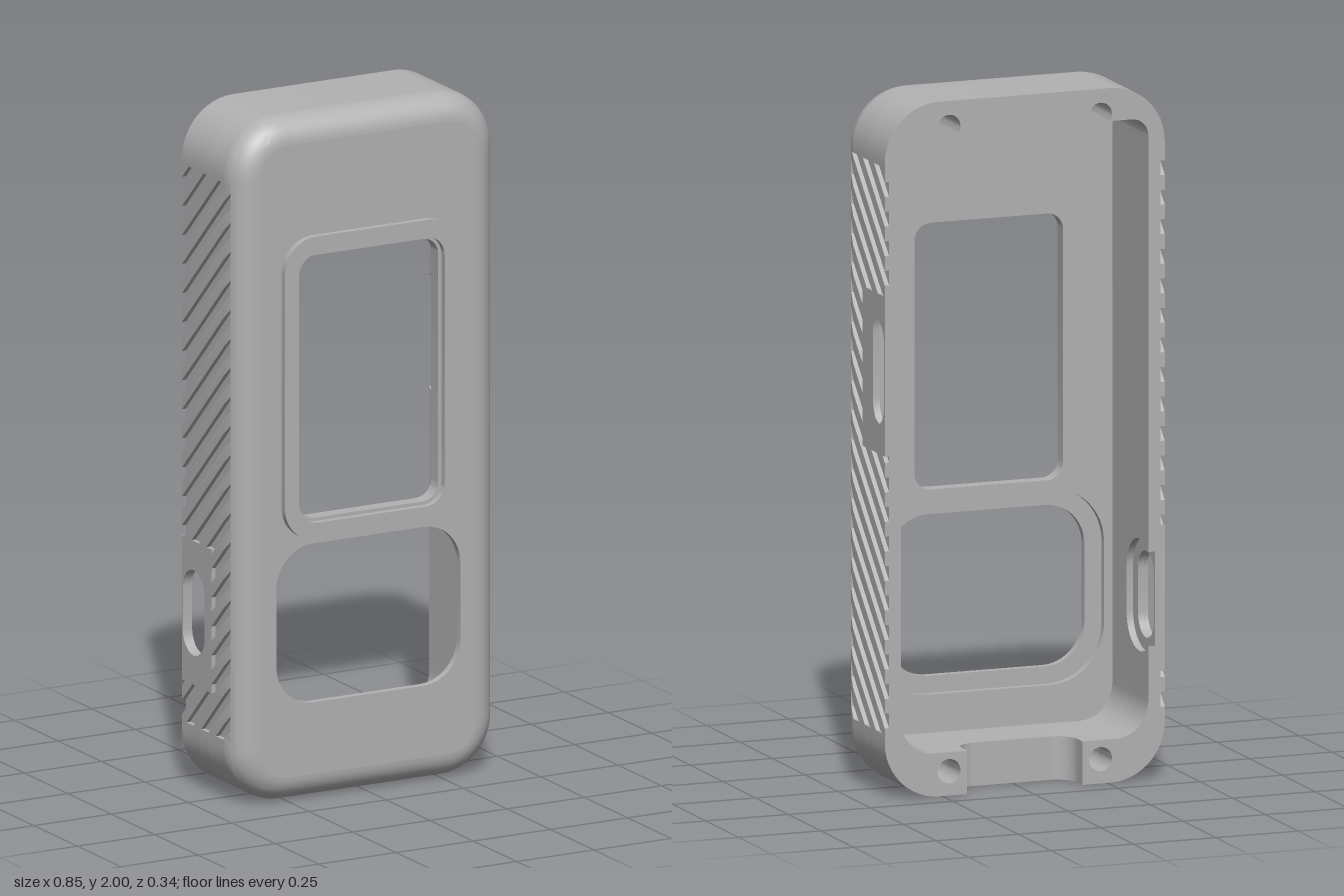
import * as THREE from 'three';
import { mergeGeometries, toCreasedNormals } from 'three/addons/utils/BufferGeometryUtils.js';

const W = 0.425, R = 0.165, IN = 0.375;         // half width, corner radius, cavity half width
const BACK = -0.17, EDGE = 0.072, FRONT = 0.147; // z of back rim, start of edge rounding, front face
const Y0 = 0.19, Y1 = 1.82, GZ = 0.1, FLOOR = 0.412; // grooved side panel and groove floor
const ROUND = FRONT - EDGE, HP = Math.PI / 2;

function arc(cx, cy, r, a0, a1, n = 12) {
  const pts = [];
  for (let i = 0; i <= n; i++) {
    const a = a0 + (a1 - a0) * i / n;
    pts.push([cx + r * Math.cos(a), cy + r * Math.sin(a)]);
  }
  return pts;
}

// rounded rectangle, counter-clockwise, with separate bottom and top radii
function roundRect(w, y0, y1, rb, rt = rb) {
  return [
    ...arc(w - rb, y0 + rb, rb, -HP, 0), ...arc(w - rt, y1 - rt, rt, 0, HP),
    ...arc(-w + rt, y1 - rt, rt, HP, 2 * HP), ...arc(-w + rb, y0 + rb, rb, 2 * HP, 3 * HP),
  ];
}

const toV = (pts) => pts.map(([x, y]) => new THREE.Vector2(x, y));

// slab with holes between two depths
function slab(pts, holes, z0, z1) {
  const s = new THREE.Shape(toV(pts));
  for (const h of holes) s.holes.push(new THREE.Path(toV(h)));
  const g = new THREE.ExtrudeGeometry(s, { depth: z1 - z0, bevelEnabled: false });
  return g.translate(0, 0, z0);
}

// slab drawn in (z, y) and extruded sideways from x0 to x1
function sideSlab(side, pts, holes, x0, x1) {
  const flip = (l) => l.map(([z, y]) => [-side * z, y]);
  return slab(flip(pts), holes.map(flip), x0, x1).rotateY(side * HP);
}

// how far the rounded front edge has curved in at depth z
function edgeInset(z) {
  const d = Math.max(0, z - EDGE);
  return ROUND - Math.sqrt(Math.max(0, ROUND * ROUND - d * d));
}

// outer outline at depth z, with the grooved panels sunk in when notched
function outerLoop(z, notch) {
  const i = edgeInset(z), r = R - i, w = W - i, f = notch ? Math.min(FLOOR, w) : w;
  return [
    ...arc(W - R, R, r, -HP, 0), [w, Y0], [f, Y0], [f, Y1], [w, Y1],
    ...arc(W - R, 2 - R, r, 0, HP), ...arc(R - W, 2 - R, r, HP, 2 * HP),
    [-w, Y1], [-f, Y1], [-f, Y0], [-w, Y0], ...arc(R - W, R, r, 2 * HP, 3 * HP),
  ].map(([x, y]) => [x, y, z]);
}

function frontEdgeGeometry() {
  const loops = [outerLoop(EDGE, true), outerLoop(0.088, true), outerLoop(GZ, true), outerLoop(GZ, false)];
  const start = Math.asin((GZ - EDGE) / ROUND);
  for (let k = 1; k <= 8; k++) {
    loops.push(outerLoop(EDGE + ROUND * Math.sin(start + (HP - start) * k / 8), false));
  }
  const pos = [];
  for (let k = 0; k + 1 < loops.length; k++) {
    const a = loops[k], b = loops[k + 1], n = a.length;
    for (let j = 0; j < n; j++) {
      const m = (j + 1) % n;
      pos.push(...a[j], ...a[m], ...b[m], ...a[j], ...b[m], ...b[j]);
    }
  }
  const g = new THREE.BufferGeometry();
  g.setAttribute('position', new THREE.Float32BufferAttribute(pos, 3));
  return g;
}

// keep the part of a polygon where a*u + b*v <= d
function clip(poly, a, b, d) {
  const out = [];
  poly.forEach((p, i) => {
    const q = poly[(i + 1) % poly.length];
    const dp = a * p[0] + b * p[1] - d, dq = a * q[0] + b * q[1] - d;
    if (dp <= 0) out.push(p);
    if (dp * dq < 0) {
      const t = dp / (dp - dq);
      out.push([p[0] + (q[0] - p[0]) * t, p[1] + (q[1] - p[1]) * t]);
    }
  });
  return out;
}

const box = (z0, z1, y0, y1) => [[z0, y0], [z1, y0], [z1, y1], [z0, y1]];

// diagonal grip ridges standing on the groove floor, leaving out the plain patch
function ridgeGeometry(side, py0, py1) {
  const areas = [
    box(BACK, EDGE, Y0, py0), box(BACK, EDGE, py1, Y1), box(0, EDGE, py0, py1),
    box(EDGE, GZ, Y0, Y1),
  ];
  const pitch = 0.085, parts = [];
  for (let c = 0.08; c < 2; c += pitch) {
    for (const area of areas) {
      const poly = clip(clip(area, 1, -1, -c), -1, 1, c + pitch / 2);
      if (poly.length < 3) continue;
      const g = sideSlab(side, poly, [], FLOOR, W), p = g.attributes.position;
      for (let i = 0; i < p.count; i++) {
        p.setX(i, side * Math.min(Math.abs(p.getX(i)), W - edgeInset(p.getZ(i))));
      }
      parts.push(g);
    }
  }
  return mergeGeometries(parts);
}

export function createModel() {
  const group = new THREE.Group();
  const grey = new THREE.MeshStandardMaterial({ color: 0xb2b2b2 });
  grey.name = 'grey plastic';
  const add = (name, geo) => {
    const mesh = new THREE.Mesh(toCreasedNormals(geo, 0.6), grey);
    mesh.name = name;
    group.add(mesh);
  };

  // front: rounded edge, plate with two openings, raised window rim
  const windowHole = roundRect(0.226, 0.825, 1.593, 0.05);
  const lowerHole = roundRect(0.298, 0.285, 0.75, 0.12);
  const lowerRecess = roundRect(0.35, 0.235, 0.8, 0.165);
  const inset = (i) => roundRect(W - i, i, 2 - i, R - i);
  const cavity = roundRect(IN, 0.125, 1.905, 0.1, 0.05);
  add('frontEdge', frontEdgeGeometry());
  add('frontPlate', slab(inset(ROUND), [windowHole, lowerHole], 0.125, FRONT));
  add('frontPlateBacking', slab(inset(0.04), [windowHole, lowerRecess], 0.105, 0.125));
  add('innerRing', slab(inset(0.03), [cavity], EDGE, 0.115));
  add('windowRim', slab(roundRect(0.281, 0.768, 1.653, 0.1),
    [roundRect(0.236, 0.815, 1.602, 0.06)], FRONT - 0.002, 0.167));

  // top wall, with screw holes breaking into the cavity
  const topOuter = [[W, Y1], ...arc(W - R, 2 - R, R, 0, HP), ...arc(R - W, 2 - R, R, HP, 2 * HP), [-W, Y1], [-IN, Y1]];
  const topL = arc(-IN + 0.05, 1.855, 0.05, 2 * HP, HP), topR = arc(IN - 0.05, 1.855, 0.05, HP, 0);
  const dip = Math.asin(0.02 / 0.035);
  const notch = (x) => arc(x, 1.925, 0.035, 2 * HP + dip, -dip, 20);
  add('topWallScrews', slab([...topOuter, ...topL, ...notch(-0.23), ...notch(0.23), ...topR, [IN, Y1]], [], BACK, -0.02));
  add('topWall', slab([...topOuter, ...topL, ...topR, [IN, Y1]], [], -0.02, EDGE));

  // bottom wall, with screw holes and a cable cutout at the back
  const bottomRight = [...arc(W - R, R, R, -HP, 0), [W, Y0], [0.385, Y0], [IN, 0.25], ...arc(IN - 0.1, 0.225, 0.1, 0, -HP)];
  const mirror = (l) => l.map(([x, y]) => [-x, y]).reverse();
  const bottom = [...bottomRight, ...mirror(bottomRight)];
  const screws = [-0.23, 0.23].map((x) => arc(x, 0.07, 0.035, 0, 4 * HP, 24).slice(0, -1));
  add('bottomWall', slab(bottom, [], -0.02, EDGE));
  add('bottomWallScrews', slab(bottom, screws, -0.07, -0.02));
  const rightPiece = [[0.175, 0], ...bottomRight, [0.175, 0.125]];
  add('bottomLugLeft', slab(rightPiece, [screws[1]], BACK, -0.07));
  add('bottomLugRight', slab(mirror(rightPiece), [screws[0]], BACK, -0.07));
  for (const s of [-1, 1]) {
    const fillet = [[s * 0.175, -0.07], ...arc(0.115, -0.13, 0.06, HP, 0).map(([x, z]) => [s * x, z])];
    add('cutoutFillet', slab(fillet, [], 0, 0.125).rotateX(HP).translate(0, 0.125, 0));
  }

  // side walls: slot, recess behind it, plain patch and ridges
  const sides = [
    { side: 1, name: 'left', s0: 1.07, s1: 1.375, p0: 0.99, p1: 1.45 },
    { side: -1, name: 'right', s0: 0.395, s1: 0.645, p0: 0.31, p1: 0.73 },
  ];
  for (const { side, name, s0, s1, p0, p1 } of sides) {
    const zc = -0.1025, r = 0.0625, rr = r + 0.037;
    const slot = [...arc(zc, s1 - r, r, 0, 2 * HP), ...arc(zc, s0 + r, r, 2 * HP, 4 * HP)];
    const open = Math.acos((BACK - zc) / rr);
    const recessed = [
      [BACK, Y0], [GZ, Y0], [GZ, Y1], [BACK, Y1],
      ...arc(zc, s1 - r, rr, open, 0), ...arc(zc, s0 + r, rr, 0, -open),
    ];
    add(name + 'WallInner', sideSlab(side, recessed, [], IN, 0.395));
    add(name + 'WallOuter', sideSlab(side, box(BACK, GZ, Y0, Y1), [slot], 0.395, FLOOR));
    add(name + 'SlotPatch', sideSlab(side, box(BACK, 0, p0, p1), [slot], FLOOR, W));
    add(name + 'GripRidges', ridgeGeometry(side, p0, p1));
  }
  return group;
}
